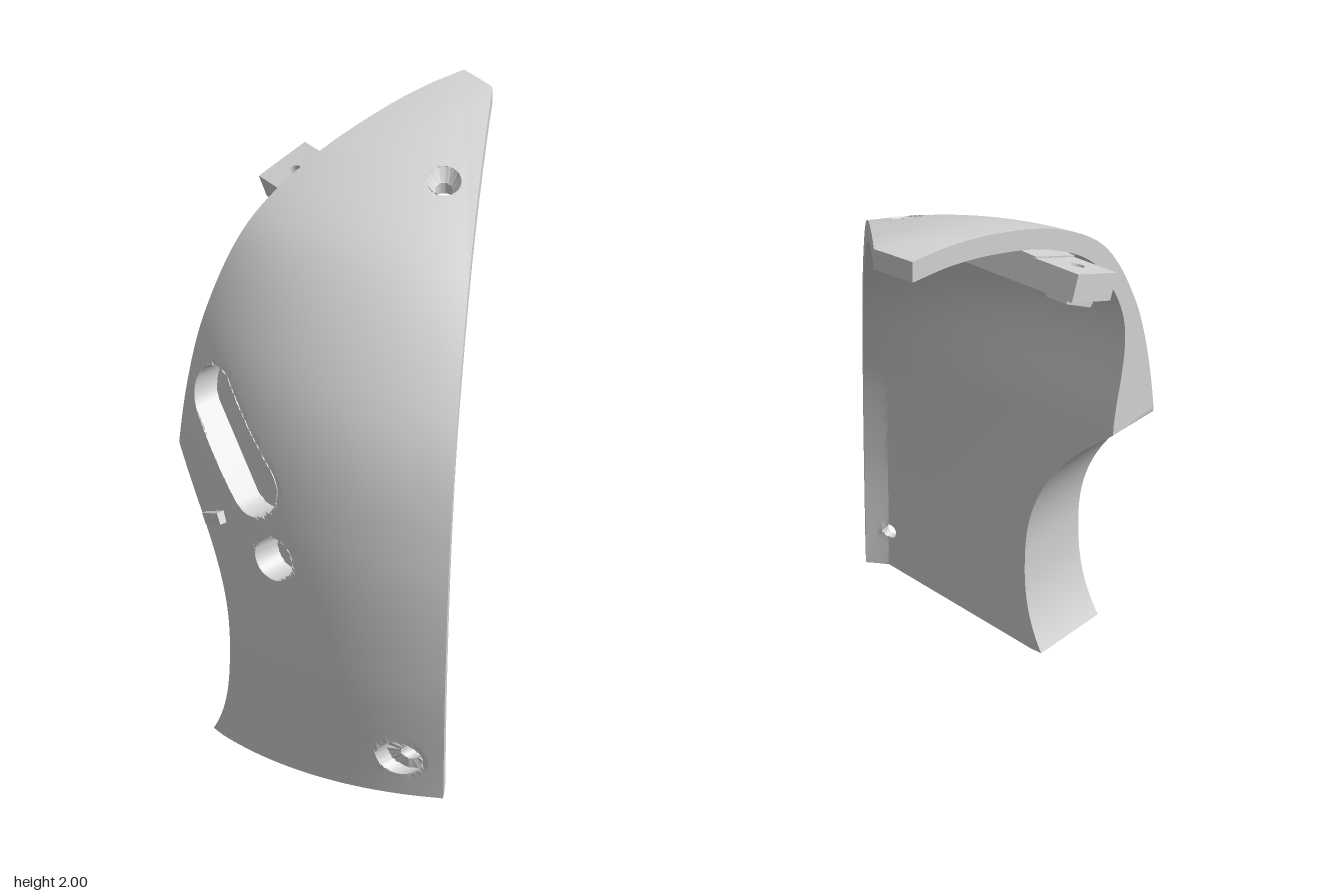
import * as THREE from 'three';
import { toCreasedNormals } from 'three/addons/utils/BufferGeometryUtils.js';

const ROWS = 210, COLS = 110, WALL = 0.065;
const AX = 0.65, AZ = -0.46;          // vertical axis of the dome
const BACK_D = 0.98;                  // distance from the axis to the flat inner side of the lower wall
const CREASE = 0.8;                   // angle of the inner lip beside the diagonal cut
const { lerp, clamp, smoothstep } = THREE.MathUtils;

// Dome profile from apex to foot: radius at the back, height, radius at the diagonal cut
const profile = new THREE.CatmullRomCurve3([
  [0, 2, 0], [0.17, 1.99, 0.17], [0.35, 1.96, 0.3], [0.65, 1.87, 0.57], [0.9, 1.72, 0.85],
  [1.07, 1.47, 1.12], [1.15, 1.25, 1.28], [1.21, 0.95, 1.39], [1.25, 0.5, 1.46], [1.29, 0, 1.47],
].map((p) => new THREE.Vector3(...p)));

// Recesses and holes: axis, ends of the centre line, radius, depth along the axis, bore radius
const holes = [
  { axis: 'x', a: [1.24, -0.31], b: [1.04, -0.05], R: 0.1, depth: 0.09 },
  { axis: 'x', a: [0.83, 0.07], b: [0.83, 0.07], R: 0.075, depth: 0.09 },
  { axis: 'x', a: [0.22, 0.53], b: [0.22, 0.53], R: 0.065, depth: 0.05, bore: 0.027 },
  { axis: 'y', a: [0.25, -0.07], b: [0.25, -0.07], R: 0.055, depth: -0.035, bore: 0.028, cone: true },
];
for (const h of holes) h.across = h.axis === 'x' ? 'y' : 'x';

// Nearest point on a hole's centre line and the distance to it, seen along the hole's axis
function fromCentre(h, p) {
  const [du, dw] = [h.b[0] - h.a[0], h.b[1] - h.a[1]];
  const len2 = du * du + dw * dw;
  const t = len2 ? clamp(((p[h.across] - h.a[0]) * du + (p.z - h.a[1]) * dw) / len2, 0, 1) : 0;
  const c = [h.a[0] + du * t, h.a[1] + dw * t];
  return { c, d: Math.hypot(p[h.across] - c[0], p.z - c[1]) };
}

const nearSide = (h, p) => (h.axis === 'x' ? p.x < -0.2 : p.y > 1.5);
const cutRadius = (h, inner) => (inner ? h.bore ?? 0 : h.R);

// Pull grid points near a hole's rim exactly onto the rim
function snapToRims(p, inner) {
  for (const h of holes) {
    const R = cutRadius(h, inner);
    const f = fromCentre(h, p);
    if (!R || !nearSide(h, p) || Math.abs(f.d - R) > 0.008) continue;
    p[h.across] = f.c[0] + ((p[h.across] - f.c[0]) * R) / f.d;
    p.z = f.c[1] + ((p.z - f.c[1]) * R) / f.d;
  }
}

// Concave curve that trims the lower back edge
const backZ = (y) => (y > 1 ? AZ : Math.max(AZ, -0.1 - Math.abs(y - 0.35) ** 2.38));

// One surface of the shell as rows of points
function surface(inner) {
  const pts = profile.getSpacedPoints(ROWS);
  return pts.map((q, i) => {
    const n = pts[Math.min(i + 1, ROWS)].clone().sub(pts[Math.max(i - 1, 0)]);
    const l = Math.hypot(n.x, n.y);
    const off = inner ? WALL : 0;
    const dr = (off * -n.y) / l;
    const y = Math.max(0, q.y - (off * n.x) / l);
    const shell = (a) => Math.max(0.0005, lerp(q.x, q.z, a / 0.85) - dr);
    const radius = (a) => {
      const r = shell(a);
      if (!inner || a > CREASE) return r;
      // the lower wall is filled out to a nearly flat inner side
      const d = lerp(BACK_D, shell(CREASE) * Math.cos(CREASE), (a / CREASE) ** 2);
      return lerp(Math.min(r, d / Math.cos(a)), r, smoothstep(y, 1, 1.6));
    };
    let a0 = 0, a1 = 0.85;
    for (let k = 0; k < 8; k++) {
      a0 = Math.asin(Math.min(1, (backZ(y) - AZ) / radius(a0)));
      a1 = Math.PI / 4 + Math.asin(Math.min(Math.SQRT1_2, 0.105 / radius(Math.min(a1, 0.9))));
    }
    return Array.from({ length: COLS + 1 }, (_, j) => {
      const a = lerp(a0, a1, j / COLS);
      const r = radius(Math.min(a, 0.9));
      const p = new THREE.Vector3(AX - r * Math.cos(a), y, AZ + r * Math.sin(a));
      // the foot slopes gently up towards the front
      if (y < 1) p.y += (1 - y) * 0.08 * clamp((p.z + 0.13) / 0.77, 0, 1);
      snapToRims(p, inner);
      return p;
    });
  });
}

function shellGeometry() {
  const out = surface(false), inn = surface(true), pos = [];
  const mid = new THREE.Vector3();
  const push = (...ps) => ps.forEach((p) => pos.push(p.x, p.y, p.z));
  const quad = (a, b, c, d) => push(a, b, c, a, c, d);
  const skin = (inner, a, b, c) => {
    mid.copy(a).add(b).add(c).divideScalar(3);
    const cut = holes.some((h) => nearSide(h, mid) && fromCentre(h, mid).d < cutRadius(h, inner) * 0.995);
    if (!cut) push(a, b, c);
  };
  for (let i = 0; i < ROWS; i++) {
    for (let j = 0; j < COLS; j++) {
      skin(false, out[i][j], out[i + 1][j], out[i + 1][j + 1]);
      skin(false, out[i][j], out[i + 1][j + 1], out[i][j + 1]);
      skin(true, inn[i][j], inn[i][j + 1], inn[i + 1][j + 1]);
      skin(true, inn[i][j], inn[i + 1][j + 1], inn[i + 1][j]);
    }
    // back edge and diagonal edge
    quad(out[i][0], inn[i][0], inn[i + 1][0], out[i + 1][0]);
    quad(out[i][COLS], out[i + 1][COLS], inn[i + 1][COLS], inn[i][COLS]);
  }
  // foot
  for (let j = 0; j < COLS; j++) quad(out[ROWS][j], inn[ROWS][j], inn[ROWS][j + 1], out[ROWS][j + 1]);

  // walls and floors of the holes, as rings that start on the outer skin
  for (const h of holes) {
    const near = (grid) => grid.flat().filter((p) => nearSide(h, p) && fromCentre(h, p).d < h.R + 0.03);
    const [outPts, innPts] = [near(out), near(inn)];
    const ring = (r, pts, depth) => Array.from({ length: 49 }, (_, k) => {
      const a = (k / 48) * Math.PI * 2, c = Math.cos(a), s = Math.sin(a);
      const end = c * (h.b[0] - h.a[0]) + s * (h.b[1] - h.a[1]) > 0 ? h.b : h.a;
      const p = new THREE.Vector3();
      p[h.across] = end[0] + c * r;
      p.z = end[1] + s * r;
      const gap = (q) => Math.hypot(q[h.across] - p[h.across], q.z - p.z);
      p[h.axis] = pts.reduce((best, q) => (gap(q) < gap(best) ? q : best))[h.axis] + depth;
      return p;
    });
    const rings = [ring(h.R, outPts, 0), ring(h.cone ? h.bore : h.R, outPts, h.depth), ring(h.bore ?? 0, outPts, h.depth)];
    if (h.bore) rings.push(ring(h.bore, innPts, 0));
    for (let m = 0; m + 1 < rings.length; m++) {
      for (let k = 0; k < 48; k++) {
        const [a, b, c, d] = [rings[m][k], rings[m + 1][k], rings[m + 1][k + 1], rings[m][k + 1]];
        if (h.axis === 'x') quad(a, d, c, b); else quad(a, b, c, d);
      }
    }
  }
  const g = new THREE.BufferGeometry();
  g.setAttribute('position', new THREE.Float32BufferAttribute(pos, 3));
  return toCreasedNormals(g, 0.5);
}

// Flat plate in x and z with a round hole, rising from y0 to y1
function plate(points, hole, r, y0, y1) {
  const s = new THREE.Shape(points.map(([x, z]) => new THREE.Vector2(x, -z)));
  s.holes.push(new THREE.Path().absarc(hole[0], -hole[1], r, 0, Math.PI * 2, true));
  const g = new THREE.ExtrudeGeometry(s, { depth: y1 - y0, bevelEnabled: false, curveSegments: 16 });
  return g.rotateX(-Math.PI / 2).translate(0, y0, 0);
}

export function createModel() {
  const group = new THREE.Group();
  const grey = new THREE.MeshStandardMaterial({ color: 0xd4d4d4, side: THREE.DoubleSide });
  grey.name = 'light grey plastic';
  const add = (parent, name, geometry) => {
    const m = new THREE.Mesh(geometry, grey);
    m.name = name;
    parent.add(m);
    return m;
  };

  add(group, 'shell', shellGeometry());

  // Mounting tab under the dome, tilted with its slope: wedge arm, drilled end and nut holder
  const tab = new THREE.Group();
  tab.name = 'mountingTab';
  tab.position.set(0.15, 1.74, 0);
  tab.rotation.z = 0.33;
  group.add(tab);
  const arm = new THREE.Shape([[0.02, 0], [0.02, 0.01], [-0.1, 0.055], [-0.25, 0.085], [-0.38, 0.097],
    [-0.48, 0.093], [-0.48, 0]].map(([z, y]) => new THREE.Vector2(-z, y)));
  add(tab, 'tabArm', new THREE.ExtrudeGeometry(arm, { depth: 0.2, bevelEnabled: false })
    .rotateY(Math.PI / 2).translate(-0.2, 0, 0));
  const bolt = [-0.11, -0.56];
  add(tab, 'tabEnd', plate([[-0.2, -0.48], [0, -0.48], [0, -0.645], [-0.2, -0.645]], bolt, 0.022, 0, 0.088));
  const hex = Array.from({ length: 6 }, (_, k) => {
    const a = (k * Math.PI) / 3 + Math.PI / 6;
    return [bolt[0] + 0.08 * Math.cos(a), bolt[1] - 0.08 * Math.sin(a)];
  });
  add(tab, 'nutHolder', plate(hex, bolt, 0.05, -0.02, 0));

  // Small ledge at the head of the concave back edge
  const ledge = add(group, 'backLedge', new THREE.BoxGeometry(0.24, 0.04, 0.1));
  ledge.position.set(-0.49, 0.86, -0.2);
  ledge.rotation.x = -0.5;

  return group;
}
